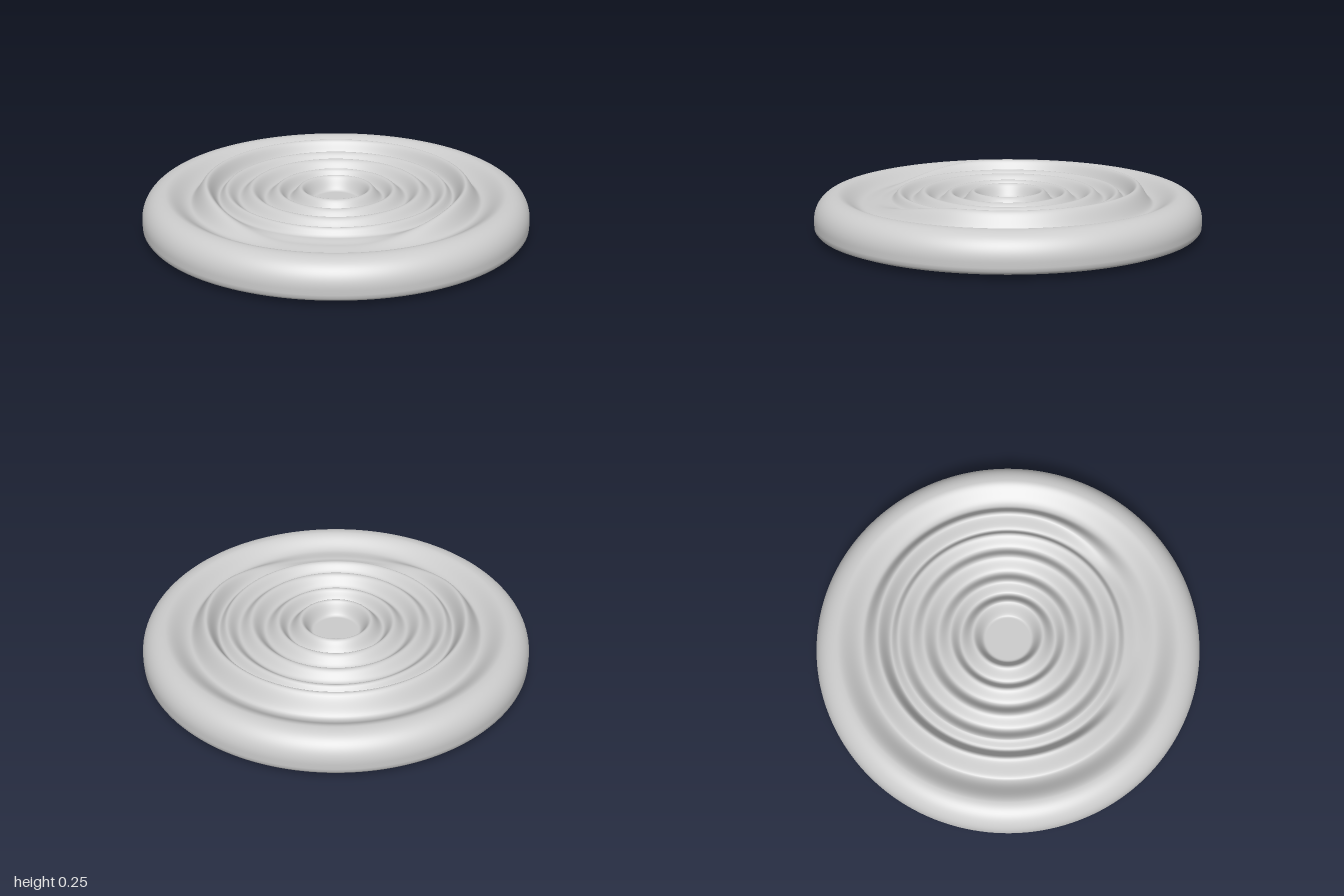
import * as THREE from 'three';
import { mergeVertices } from 'three/addons/utils/BufferGeometryUtils.js';

const smooth = THREE.MathUtils.smoothstep;
const lerp = THREE.MathUtils.lerp;

// Crests and valleys of the rippled top: [radius, height]
const RIPPLES = [
  [0, 0.14], [0.12, 0.14], [0.18, 0.212], [0.245, 0.155], [0.297, 0.207],
  [0.365, 0.16], [0.435, 0.215], [0.5, 0.17], [0.563, 0.213], [0.605, 0.175],
  [0.668, 0.25], [0.755, 0.155], [0.88, 0.213],
];
const CREST = 10; // the tall ring, which sinks at the front

// Height of the top at a radius, with a given height for the tall ring
function topHeight(r, crest) {
  for (let i = 1; i < RIPPLES.length; i++) {
    const [r0, a] = RIPPLES[i - 1];
    const [r1, b] = RIPPLES[i];
    if (r > r1) continue;
    const y0 = i - 1 === CREST ? crest : a;
    const y1 = i === CREST ? crest : b;
    return lerp(y0, y1, smooth(r, r0, r1));
  }
  return RIPPLES[RIPPLES.length - 1][1];
}

// Crest height around the disc: full at the back, dipping front-left
function crestAt(x, z) {
  const a = Math.atan2(x, z) - THREE.MathUtils.degToRad(18);
  const d = Math.abs(Math.atan2(Math.sin(a), Math.cos(a)));
  return lerp(0.165, 0.25, smooth(THREE.MathUtils.radToDeg(d), 12, 76));
}

export function createModel() {
  const group = new THREE.Group();
  const inner = 0.88;
  const pts = [];

  // Shallow domed underside and lower edge
  for (const [r, y] of [[0, 0], [0.3, 0.002], [0.6, 0.007], [0.85, 0.014], [0.93, 0.018],
    [0.97, 0.023], [0.99, 0.031], [0.999, 0.043], [1, 0.06]]) pts.push(new THREE.Vector2(r, y));

  // Rounded rim
  for (let i = 0; i < 16; i++) {
    const t = (i / 16) * Math.PI / 2;
    pts.push(new THREE.Vector2(inner + 0.12 * Math.cos(t), 0.085 + 0.128 * Math.sin(t)));
  }

  // Rippled top, from the rim to the middle
  const steps = 140;
  for (let i = 0; i <= steps; i++) {
    const r = inner * (1 - i / steps);
    pts.push(new THREE.Vector2(r, topHeight(r, 0.25)));
  }

  let geo = new THREE.LatheGeometry(pts, 160);
  geo.deleteAttribute('uv');
  geo.deleteAttribute('normal');

  // Lower the tall ring around the front
  const p = geo.attributes.position;
  for (let i = 0; i < p.count; i++) {
    const x = p.getX(i), z = p.getZ(i), r = Math.hypot(x, z);
    if (p.getY(i) > 0.12 && r < inner) p.setY(i, topHeight(r, crestAt(x, z)));
  }
  geo = mergeVertices(geo, 1e-5);
  geo.computeVertexNormals();

  const disc = new THREE.Mesh(geo, new THREE.MeshStandardMaterial({ color: 0xcccccc }));
  disc.name = 'rippledDisc';
  group.add(disc);
  return group;
}
